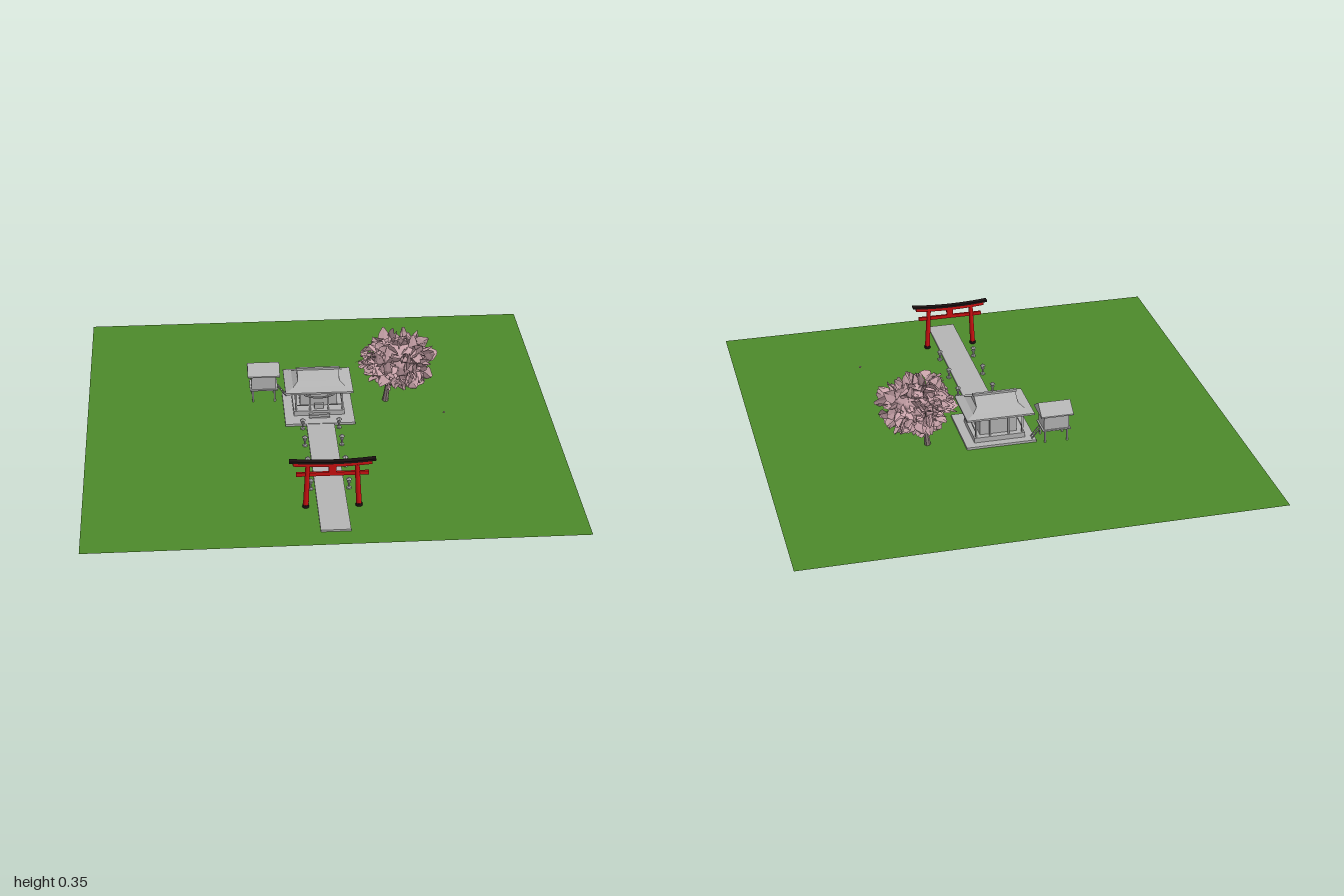
import * as THREE from 'three';
import { mergeGeometries } from 'three/addons/utils/BufferGeometryUtils.js';

const mat = (name, color, extra = {}) => {
  const m = new THREE.MeshStandardMaterial({ color, ...extra });
  m.name = name;
  return m;
};

export function createModel() {
  const root = new THREE.Group();
  root.name = 'shrineGarden';
  const grass = mat('grass', 0x4d8a2b, { side: THREE.DoubleSide });
  const stone = mat('stone', 0xb4b4b4, { flatShading: true });
  const roofing = mat('roofing', 0xb4b4b4, { flatShading: true, side: THREE.DoubleSide });
  const red = mat('redPaint', 0xcc1010);
  const black = mat('blackPaint', 0x1a1010);
  const bark = mat('bark', 0x8a7a78, { flatShading: true });
  const pink = mat('blossom', 0xc8a2a9, { flatShading: true, side: THREE.DoubleSide });

  const add = (name, geo, m, parent, x = 0, y = 0, z = 0) => {
    const mesh = new THREE.Mesh(geo, m);
    mesh.name = name;
    mesh.position.set(x, y, z);
    parent.add(mesh);
    return mesh;
  };
  const box = (name, m, parent, w, h, d, x, y, z) =>
    add(name, new THREE.BoxGeometry(w, h, d), m, parent, x, y, z);
  const group = (name, x = 0, y = 0, z = 0) => {
    const g = new THREE.Group();
    g.name = name;
    g.position.set(x, y, z);
    root.add(g);
    return g;
  };
  const rod = (name, a, b, r0, r1, m, parent, sides = 7) => {
    const p = new THREE.Vector3(...a), q = new THREE.Vector3(...b), d = q.clone().sub(p);
    const mesh = add(name, new THREE.CylinderGeometry(r1, r0, d.length(), sides), m, parent);
    mesh.position.copy(p).add(q).multiplyScalar(0.5);
    mesh.quaternion.setFromUnitVectors(new THREE.Vector3(0, 1, 0), d.normalize());
    return mesh;
  };

  // Ground, approach and stone platform
  const ground = add('ground', new THREE.PlaneGeometry(2, 2), grass, root);
  ground.rotation.x = -Math.PI / 2;
  box('path', stone, root, 0.12, 0.008, 0.87, 0, 0.004, 0.47);
  box('platform', stone, root, 0.3, 0.01, 0.3, 0, 0.005, -0.11);

  // Gate: leaning posts, tie beam, plaque and upswept lintel
  const gate = group('gate', 0, 0, 0.71);
  for (const s of [-1, 1]) {
    rod('gatePost', [s * 0.107, 0, 0], [s * 0.098, 0.19, 0], 0.0115, 0.0095, red, gate, 16);
    add('postFoot', new THREE.CylinderGeometry(0.013, 0.014, 0.012, 16), black, gate, s * 0.107, 0.006, 0);
  }
  box('tieBeam', red, gate, 0.29, 0.016, 0.01, 0, 0.15, 0);
  box('plaque', red, gate, 0.03, 0.028, 0.012, 0, 0.172, 0);
  const lintel = (name, w, h, d, y, m) => {
    const geo = new THREE.BoxGeometry(w, h, d, 16, 1, 1), p = geo.attributes.position;
    for (let i = 0; i < p.count; i++) p.setY(i, p.getY(i) + 0.3 * p.getX(i) ** 2);
    geo.computeVertexNormals();
    add(name, geo, m, gate, 0, y, 0);
  };
  lintel('lintel', 0.315, 0.014, 0.017, 0.191, red);
  lintel('lintelCap', 0.345, 0.009, 0.024, 0.2025, black);

  // Lanterns in four pairs along the path
  const lanternProfile = [[0, 0], [0.011, 0], [0.011, 0.006], [0.0045, 0.008], [0.0045, 0.026], [0.01, 0.029],
    [0.007, 0.031], [0.007, 0.04], [0.0135, 0.041], [0.004, 0.049], [0, 0.053]];
  const lanternGeo = new THREE.LatheGeometry(lanternProfile.map(p => new THREE.Vector2(...p)), 6);
  for (const z of [0.065, 0.215, 0.395, 0.575])
    for (const x of [-0.078, 0.078]) add('lantern', lanternGeo, stone, root, x, 0, z);

  // Shrine hall
  const hall = group('shrineHall', 0, 0, -0.13);
  box('hallFloor', stone, hall, 0.22, 0.022, 0.19, 0, 0.021, 0);
  box('hallBody', stone, hall, 0.16, 0.095, 0.11, 0, 0.079, -0.015);
  box('frontDoor', stone, hall, 0.07, 0.06, 0.004, 0, 0.062, 0.042);
  for (let i = 0; i < 2; i++) box('frontStep', stone, hall, 0.09, 0.012 - i * 0.006, 0.014, 0, 0.016 - i * 0.003, 0.101 + i * 0.014);
  for (const x of [-0.1, -0.04, 0.04, 0.1]) {
    box('frontPost', stone, hall, 0.007, 0.095, 0.007, x, 0.077, 0.085);
    box('backPost', stone, hall, 0.007, 0.095, 0.007, x, 0.077, -0.085);
  }
  for (const s of [-1, 1]) {
    box('eaveBeam', stone, hall, 0.24, 0.007, 0.008, 0, 0.12, s * 0.085);
    box('sideRail', stone, hall, 0.004, 0.004, 0.17, s * 0.1, 0.055, 0);
    box('frontRail', stone, hall, 0.06, 0.004, 0.004, s * 0.07, 0.055, 0.085);
  }
  box('offeringBox', stone, hall, 0.04, 0.02, 0.016, 0, 0.042, 0.07);
  const rope = new THREE.QuadraticBezierCurve3(new THREE.Vector3(-0.065, 0.11, 0.092),
    new THREE.Vector3(0, 0.08, 0.096), new THREE.Vector3(0.065, 0.11, 0.092));
  add('hangingRope', new THREE.TubeGeometry(rope, 14, 0.0045, 6), stone, hall);

  // Hip-and-gable roof from stacked rectangles: [half width, y, half depth]
  const rings = [[0.146, 0.122, 0.115], [0.146, 0.13, 0.115], [0.112, 0.14, 0.08], [0.09, 0.155, 0.05], [0.09, 0.187, 0.002]];
  const corners = ([w, y, d]) => [[-w, y, d], [w, y, d], [w, y, -d], [-w, y, -d]];
  const roofPos = [];
  const quad = (a, b, c, d) => roofPos.push(...a, ...b, ...c, ...a, ...c, ...d);
  for (let i = 0; i < rings.length - 1; i++) {
    const a = corners(rings[i]), b = corners(rings[i + 1]);
    for (let k = 0; k < 4; k++) quad(a[k], a[(k + 1) % 4], b[(k + 1) % 4], b[k]);
  }
  const base = corners(rings[0]);
  quad(base[3], base[2], base[1], base[0]);
  const roofGeo = new THREE.BufferGeometry();
  roofGeo.setAttribute('position', new THREE.Float32BufferAttribute(roofPos, 3));
  roofGeo.computeVertexNormals();
  add('hallRoof', roofGeo, roofing, hall);
  box('roofRidge', stone, hall, 0.19, 0.009, 0.012, 0, 0.189, 0);

  // Raised storehouse with gable roof and ladder
  const store = group('storehouse', -0.232, 0, -0.235);
  for (const x of [-0.048, 0.048])
    for (const z of [-0.038, 0.038]) box('storeLeg', stone, store, 0.007, 0.062, 0.007, x, 0.031, z);
  box('storeFloor', stone, store, 0.122, 0.006, 0.1, 0, 0.06, 0);
  box('storeBody', stone, store, 0.108, 0.07, 0.088, 0, 0.096, 0);
  const gable = new THREE.Shape([[-0.06, 0.127], [0.06, 0.127], [0.06, 0.133], [0, 0.172], [-0.06, 0.133]]
    .map(p => new THREE.Vector2(...p)));
  const gableGeo = new THREE.ExtrudeGeometry(gable, { depth: 0.14, bevelEnabled: false });
  gableGeo.translate(0, 0, -0.07).rotateY(Math.PI / 2);
  add('storeRoof', gableGeo, stone, store);
  for (const z of [-0.012, 0.012]) rod('ladderRail', [0.058, 0.062, z], [0.102, 0.005, z], 0.002, 0.002, stone, store, 5);
  for (let i = 1; i < 6; i++) box('ladderRung', stone, store, 0.005, 0.002, 0.024, 0.058 + i * 0.0075, 0.062 - i * 0.0097, 0);

  // Blossom tree: trunk, spreading branches and a crown of folded shards
  const tree = group('blossomTree', 0.3, 0, -0.17);
  let seed = 11;
  const rnd = () => (seed = (seed * 16807) % 2147483647) / 2147483647;
  rod('trunk', [0, 0, 0], [0.012, 0.1, 0], 0.014, 0.009, bark, tree);
  for (let i = 0; i < 7; i++) {
    const a = i * 0.9;
    rod('branch', [0.01, 0.07, 0], [0.05 + 0.12 * Math.cos(a), 0.18 + 0.08 * rnd(), 0.1 * Math.sin(a)], 0.007, 0.003, bark, tree, 5);
  }
  const shards = [];
  for (let i = 0; i < 230; i++) {
    const u = rnd() * 2 - 1, t = rnd() * Math.PI * 2, r = 0.45 + 0.47 * Math.sqrt(rnd()), s = Math.sqrt(1 - u * u);
    const L = 0.032 + 0.03 * rnd(), W = 0.018 + 0.02 * rnd(), f = 0.012 * rnd();
    const geo = new THREE.PlaneGeometry(2 * W, L, 2, 2), p = geo.attributes.position;
    // taper to a ragged tip and fold along the middle
    for (let k = 0; k < p.count; k++) {
      const v = p.getY(k) / L + 0.5;
      p.setXYZ(k, p.getX(k) * (1 - 0.75 * v * v), p.getY(k) + (rnd() - 0.5) * 0.012, Math.abs(p.getX(k)) / W * f);
    }
    const dir = new THREE.Vector3(s * Math.cos(t) + (rnd() - 0.5), u + (rnd() - 0.5), s * Math.sin(t) + (rnd() - 0.5)).normalize();
    geo.rotateY(rnd() * 6.28);
    geo.applyQuaternion(new THREE.Quaternion().setFromUnitVectors(new THREE.Vector3(0, 1, 0), dir));
    geo.translate(0.05 + 0.17 * r * s * Math.cos(t), 0.2 + 0.135 * r * u, 0.005 + 0.135 * r * s * Math.sin(t));
    shards.push(geo);
  }
  const crown = mergeGeometries(shards);
  crown.computeVertexNormals();
  add('blossomShards', crown, pink, tree);
  const core = add('blossomCore', new THREE.IcosahedronGeometry(1, 1), pink, tree, 0.05, 0.205, 0.005);
  core.scale.set(0.11, 0.085, 0.085);
  add('driftingPetal', new THREE.OctahedronGeometry(0.006), pink, root, 0.5, 0.17, 0.27);

  return root;
}
